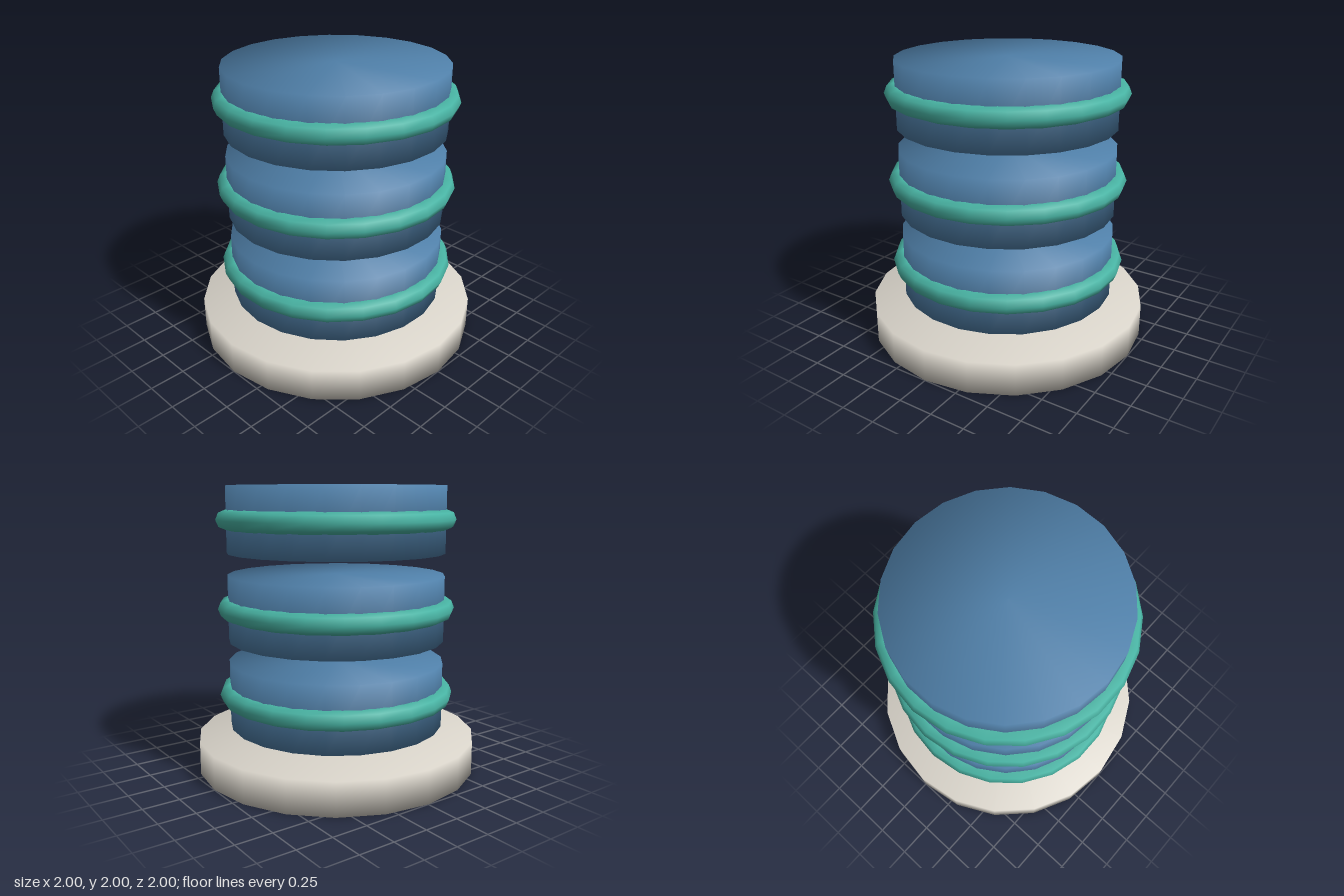
import * as THREE from 'three';
import { mergeVertices } from 'three/addons/utils/BufferGeometryUtils.js';

const material = (name, color) => {
  const m = new THREE.MeshStandardMaterial({ color });
  m.name = name;
  return m;
};

// Closed cylinder with normals shared between rim and caps for soft shading
function softCylinder(radius, height, sides) {
  const g = new THREE.CylinderGeometry(radius, radius, height, sides);
  g.deleteAttribute('normal');
  g.deleteAttribute('uv');
  const merged = mergeVertices(g);
  merged.computeVertexNormals();
  return merged;
}

export function createModel() {
  const model = new THREE.Group();
  model.name = 'ringedDrumStack';
  const stone = material('warm stone', 0xd9d4ca);
  const blue = material('steel blue', 0x4f7fa8);
  const teal = material('teal', 0x48b3a3);

  const add = (name, geometry, mat, y) => {
    const mesh = new THREE.Mesh(geometry, mat);
    mesh.name = name;
    mesh.position.y = y;
    model.add(mesh);
  };

  // Base disc
  add('base', softCylinder(1, 0.231, 20), stone, 0.1155);

  // Three floating drums, each with a ring around its middle
  const drum = softCylinder(0.769, 0.4615, 22);
  const ring = new THREE.TorusGeometry(0.769, 0.069, 8, 22).rotateX(Math.PI / 2);
  for (let i = 0; i < 3; i++) {
    const y = 0.5385 + i * 0.6154;
    add(`drum${i + 1}`, drum, blue, y);
    add(`ring${i + 1}`, ring, teal, y);
  }
  return model;
}
